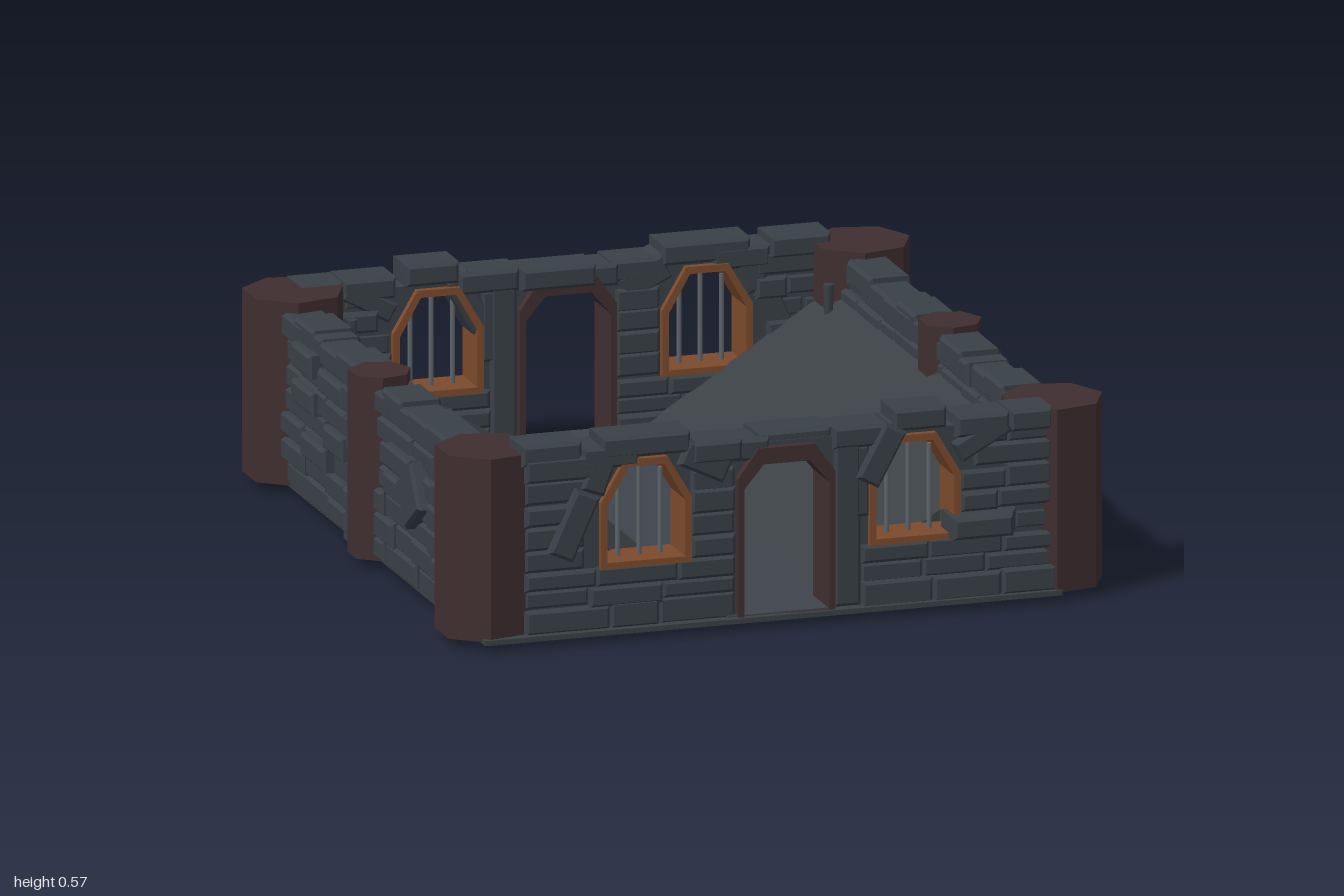
import * as THREE from 'three';

const mat = (name, color, double) => {
  const m = new THREE.MeshStandardMaterial({ color });
  m.name = name;
  if (double) m.side = THREE.DoubleSide;
  return m;
};

export function createModel() {
  const stone = mat('slate stone', 0x394047);
  const ramp = mat('ramp stone', 0x3a4144);
  const path = mat('path stone', 0x3f444d);
  const wood = mat('dark wood', 0x402e30);
  const trim = mat('window wood', 0x7d4a2c);
  const iron = mat('iron bars', 0x60666b);

  let seed = 7;
  const rnd = () => (seed = (seed * 16807) % 2147483647) / 2147483647;
  const jit = (a) => (rnd() - 0.5) * 2 * a;

  const add = (parent, geo, material, name, x = 0, y = 0, z = 0) => {
    const m = new THREE.Mesh(geo, material);
    m.name = name;
    m.position.set(x, y, z);
    parent.add(m);
    return m;
  };
  const poly = (pts) => new THREE.Shape(pts.map((p) => new THREE.Vector2(p[0], p[1])));
  const extrude = (shape, depth) =>
    new THREE.ExtrudeGeometry(shape, { depth, bevelEnabled: false }).translate(0, 0, -depth / 2);

  // Chamfered stone block centred on (x, y, z)
  const brick = (parent, x, y, w, h, d = 0.12, z = 0, rot = 0) => {
    const b = 0.009, a = w / 2 - b, c = h / 2 - b;
    const g = new THREE.ExtrudeGeometry(poly([[-a, -c], [a, -c], [a, c], [-a, c]]), {
      depth: d - 2 * b, bevelEnabled: true, bevelSize: b, bevelThickness: b, bevelSegments: 1,
    }).translate(0, 0, -d / 2 + b);
    add(parent, g, stone, 'brick', x, y, z).rotation.z = rot;
  };

  // Course of irregular bricks between two positions
  const course = (parent, x0, x1, y, h, len = 0.19) => {
    const n = Math.max(1, Math.round((x1 - x0) / len + jit(0.4)));
    let x = x0;
    for (let i = 0; i < n; i++) {
      const end = i === n - 1 ? x1 : x0 + ((x1 - x0) * (i + 1 + jit(0.25))) / n;
      brick(parent, (x + end) / 2, y + jit(0.004), end - x, h + jit(0.006), 0.118 + jit(0.012), jit(0.007));
      x = end;
    }
  };

  // Opening with a chamfered arch
  const arch = (cx, half, y0, ySide, yTop, halfTop) => [
    [cx - half, y0], [cx + half, y0], [cx + half, ySide],
    [cx + halfTop, yTop], [cx - halfTop, yTop], [cx - half, ySide],
  ];
  const ring = (outer, inner, depth) => {
    const s = poly(outer);
    s.holes.push(poly(inner));
    return extrude(s, depth);
  };
  const windows = [-0.4, 0.36];

  // Gate wall: door, two barred windows and stonework
  const gateWall = (name) => {
    const w = new THREE.Group();
    w.name = name;
    const core = poly([[-0.78, 0.03], [0.78, 0.03], [0.78, 0.51], [-0.78, 0.51]]);
    core.holes.push(poly(arch(-0.005, 0.128, 0.031, 0.4, 0.48, 0.07)));
    for (const x of windows) core.holes.push(poly(arch(x, 0.12, 0.21, 0.38, 0.485, 0.055)));
    add(w, extrude(core, 0.09), stone, 'wallCore');

    add(w, ring(arch(-0.005, 0.137, 0.026, 0.42, 0.5, 0.08),
      arch(-0.005, 0.12, 0.034, 0.39, 0.455, 0.065), 0.14), wood, 'doorFrame');
    for (const x of windows) {
      add(w, ring(arch(x, 0.128, 0.2, 0.385, 0.5, 0.06),
        arch(x, 0.11, 0.217, 0.375, 0.48, 0.05), 0.13), trim, 'windowFrame');
      for (const dx of [-0.06, 0, 0.06])
        add(w, new THREE.CylinderGeometry(0.007, 0.007, dx ? 0.24 : 0.27, 6), iron, 'windowBar',
          x + dx, dx ? 0.335 : 0.35, 0);
    }

    // Lower courses run below the sills; upper ones flank the openings
    for (const y of [0.066, 0.123, 0.176]) {
      const h = y < 0.1 ? 0.072 : 0.053;
      course(w, -0.74, -0.145, y, h);
      course(w, 0.21, 0.76, y, h);
    }
    for (let i = 0; i < 5; i++) {
      const y = 0.235 + i * 0.062;
      course(w, -0.74, i < 3 ? -0.57 : -0.54, y, 0.06, 0.13);
      course(w, i > 2 ? 0.53 : 0.49, 0.75, y, 0.06, 0.15);
      if (i < 4) course(w, -0.27, -0.145, y, 0.062, 0.13);
    }
    brick(w, 0.172, 0.28, 0.075, 0.49, 0.115);
    brick(w, 0.215, 0.38, 0.04, 0.2, 0.11);
    // Tilted stones around the window heads
    brick(w, -0.605, 0.33, 0.075, 0.19, 0.13, 0.012, -0.42);
    brick(w, -0.23, 0.475, 0.14, 0.075, 0.12, 0.008, -0.45);
    brick(w, 0.265, 0.45, 0.07, 0.17, 0.125, 0.01, -0.5);
    brick(w, 0.55, 0.475, 0.16, 0.06, 0.125, 0.01, 0.5);
    brick(w, -0.53, 0.47, 0.07, 0.12, 0.12, 0.006, -0.35);
    // Coping: x, width, top, z
    for (const [x, bw, top, z] of [
      [-0.665, 0.17, 0.56, 0], [-0.5, 0.16, 0.54, 0.004], [-0.4, 0.25, 0.565, 0.005],
      [-0.2, 0.14, 0.53, 0.01], [0.025, 0.21, 0.535, -0.02], [-0.1, 0.1, 0.525, 0],
      [0.215, 0.17, 0.535, 0], [0.375, 0.15, 0.57, 0], [0.55, 0.15, 0.54, 0.01], [0.69, 0.12, 0.54, 0],
    ]) brick(w, x, top - 0.03, bw, 0.06, 0.125, z);
    brick(w, 0.54, 0.235, 0.17, 0.06, 0.12, 0.048);
    return w;
  };

  // Side wall: coursed stonework with proud and tilted blocks
  const sideWall = (name) => {
    const w = new THREE.Group();
    w.name = name;
    add(w, new THREE.BoxGeometry(1.5, 0.45, 0.09), stone, 'wallCore', 0, 0.255, 0);
    for (let i = 0; i < 7; i++) course(w, -0.74, 0.74, 0.062 + i * 0.068, 0.067, 0.18);
    brick(w, 0.43, 0.3, 0.15, 0.14, 0.1, 0.04, 0.6);
    for (const [x, y, bw] of [[-0.49, 0.33, 0.18], [-0.4, 0.2, 0.2], [-0.23, 0.27, 0.16], [0.32, 0.36, 0.2], [-0.5, 0.43, 0.16]])
      brick(w, x, y, bw, 0.065, 0.1, 0.036);
    brick(w, -0.1, 0.3, 0.08, 0.16, 0.09, 0.03, 0.35);
    brick(w, -0.145, 0.03, 0.16, 0.06, 0.11, 0);
    for (const [x, bw] of [[-0.55, 0.16], [-0.18, 0.18], [0.2, 0.16], [0.6, 0.2]])
      brick(w, x, 0.485, bw, 0.065, 0.12);
    return w;
  };

  const model = new THREE.Group();
  model.name = 'walledHall';
  const place = (g, x, z, ry) => {
    g.position.set(x, 0, z);
    g.rotation.y = ry;
    model.add(g);
  };
  place(gateWall('frontWall'), 0, 0.89, 0);
  place(gateWall('backWall'), -0.04, -0.89, Math.PI);
  place(sideWall('rightWall'), 0.77, 0, Math.PI / 2);
  place(sideWall('leftWall'), -0.815, 0, -Math.PI / 2);

  // Seven-sided posts
  const post = (name, x, z, r) => {
    const g = new THREE.CylinderGeometry(r, r, 0.51, 7, 1, false, Math.PI / 2).toNonIndexed();
    g.computeVertexNormals();
    add(model, g, wood, name, x, 0.28, z);
  };
  for (const z of [-0.825, 0.825]) {
    post('cornerPost', -0.81, z, 0.14);
    post('cornerPost', 0.79, z, 0.14);
  }
  post('middlePost', -0.842, 0.01, 0.087);
  post('middlePost', 0.77, 0.01, 0.087);

  // Base slab, central path and sloping ground on both sides
  add(model, new THREE.BoxGeometry(1.63, 0.014, 1.93), ramp, 'baseSlab', -0.045, 0.027, 0.005);
  add(model, new THREE.BoxGeometry(0.3, 0.006, 1.9), path, 'centralPath', -0.02, 0.035, 0);
  for (const s of [-1, 1]) {
    const p = [[-0.02 + s * 0.15, 0.034], [-0.02 + s * 0.78, 0.034], [-0.02 + s * 0.78, 0.435]];
    add(model, extrude(poly(p), 1.67), ramp, 'slopedGround');
  }

  // Small pegs beside the corner posts
  for (const [x, z] of [[-0.66, -0.78], [-0.695, 0.69], [0.665, -0.715], [0.63, 0.75]])
    add(model, new THREE.CylinderGeometry(0.015, 0.012, 0.1, 7), stone, 'peg', x, 0.4, z);

  return model;
}
